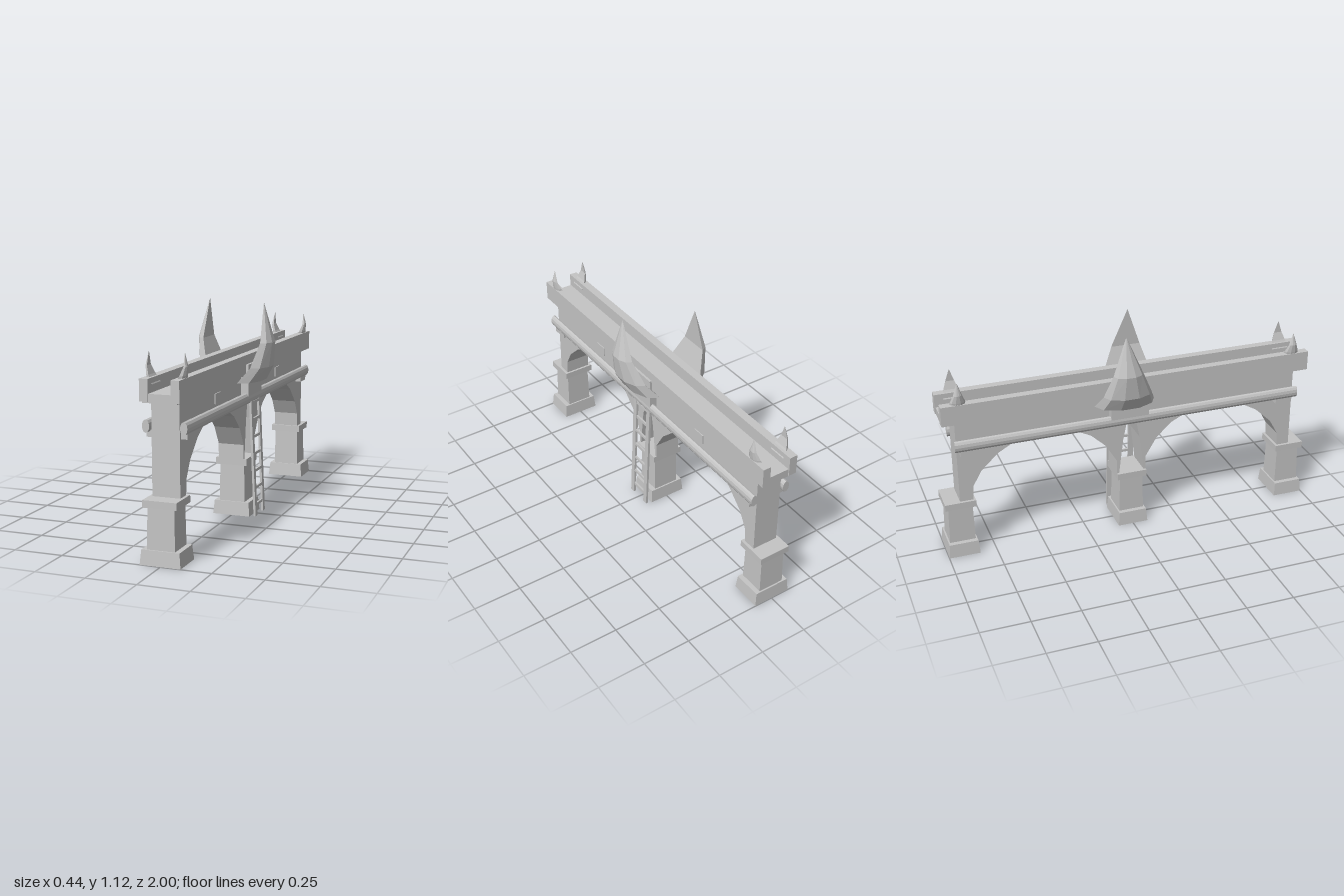
import * as THREE from 'three';

export function createModel() {
  const model = new THREE.Group();
  const stone = new THREE.MeshStandardMaterial({ color: 0xc4c4c4, side: THREE.DoubleSide, flatShading: true });
  stone.name = 'plain grey';

  const add = (name, geo, parent = model) => {
    const m = new THREE.Mesh(geo, stone);
    m.name = name;
    parent.add(m);
    return m;
  };
  // box given by its limits on each axis
  const box = (name, x0, x1, y0, y1, z0, z1, parent) => add(name,
    new THREE.BoxGeometry(x1 - x0, y1 - y0, z1 - z0)
      .translate((x0 + x1) / 2, (y0 + y1) / 2, (z0 + z1) / 2), parent);

  // four-sided tapered block, open underneath
  const taper = (name, xb, zb, xt, zt, y0, y1, parent) => {
    const g = new THREE.BoxGeometry(2, y1 - y0, 2).translate(0, (y0 + y1) / 2, 0);
    const p = g.attributes.position;
    for (let i = 0; i < p.count; i++) {
      const top = p.getY(i) > (y0 + y1) / 2;
      p.setX(i, p.getX(i) * (top ? xt : xb));
      p.setZ(i, p.getZ(i) * (top ? zt : zb));
    }
    // drop the underside face
    const idx = Array.from(g.index.array);
    idx.splice(18, 6);
    g.setIndex(idx);
    g.clearGroups();
    g.computeVertexNormals();
    return add(name, g, parent);
  };

  // piers
  for (const z of [-0.918, 0, 0.918]) {
    const pier = new THREE.Group();
    pier.name = 'pier';
    pier.position.z = z;
    model.add(pier);
    taper('pierBase', 0.101, 0.081, 0.094, 0.075, 0, 0.072, pier);
    taper('pierBody', 0.069, 0.067, 0.066, 0.063, 0.072, 0.272, pier);
    box('pierCap', -0.084, 0.084, 0.27, 0.305, -0.08, 0.08, pier);
  }

  // wall with two arches and a narrow central opening
  const half = [[0.025, 0.6], [0.045, 0.5], [0.068, 0.305], [0.08, 0.305], [0.08, 0.38], [0.14, 0.48],
    [0.22, 0.555], [0.29, 0.59], [0.33, 0.6], [0.59, 0.6], [0.63, 0.59], [0.71, 0.545], [0.8, 0.46],
    [0.845, 0.38], [0.85, 0.305], [0.918, 0.305], [0.918, 0.75]];
  const outline = [...half, ...half.map(([z, y]) => [-z, y]).reverse()];
  const wall = new THREE.Shape(outline.map(([z, y]) => new THREE.Vector2(z, y)));
  add('archedWall', new THREE.ExtrudeGeometry(wall, { depth: 0.138, bevelEnabled: false })
    .translate(0, 0, -0.069).rotateY(-Math.PI / 2));

  // walkway and parapets
  box('walkway', -0.084, 0.084, 0.746, 0.788, -0.98, 0.98);
  for (const s of [-1, 1]) {
    const a = s * 0.055, b = s * 0.097;
    box('parapet', Math.min(a, b), Math.max(a, b), 0.752, 0.855, -0.985, 0.985);
    const step = s * 0.089;
    box('parapetFoot', Math.min(a, step), Math.max(a, step), 0.75, 0.802, -0.975, 0.975);
  }

  // curved horn: D-shaped sections [y, innerX, outerX, halfZ, centreZ] ending in a tip
  const horn = (name, sections, parent) => {
    const n = 6, pos = [], idx = [];
    for (const [y, xi, xo, hz, cz] of sections) {
      for (let k = 0; k < n; k++) {
        const t = (k / (n - 1) - 0.5) * Math.PI;
        pos.push(xi + (xo - xi) * Math.cos(t), y, cz + hz * Math.sin(t));
      }
    }
    for (let r = 0; r < sections.length - 1; r++) {
      for (let k = 0; k < n; k++) {
        const a = r * n + k, b = r * n + (k + 1) % n;
        idx.push(a, a + n, b, b, a + n, b + n);
      }
    }
    for (let k = 1; k < n - 1; k++) idx.push(0, k, k + 1);
    const g = new THREE.BufferGeometry();
    g.setAttribute('position', new THREE.Float32BufferAttribute(pos, 3));
    g.setIndex(idx);
    const flat = g.toNonIndexed();
    flat.computeVertexNormals();
    return add(name, flat, parent);
  };

  // fittings of one long side; the other side is the same turned half a circle
  for (const turn of [0, Math.PI]) {
    const side = new THREE.Group();
    side.name = turn ? 'rightFittings' : 'leftFittings';
    side.rotation.y = turn;
    model.add(side);

    const rail = add('sideBeam', new THREE.CylinderGeometry(0.031, 0.031, 1.86, 12).rotateX(Math.PI / 2), side);
    rail.scale.x = 0.58;
    rail.position.set(0.093, 0.63, 0);
    box('hornMount', 0.06, 0.109, 0.63, 0.807, -0.08, 0.122, side);
    horn('largeHorn', [
      [0.72, 0.075, 0.167, 0.16, 0.04],
      [0.795, 0.135, 0.21, 0.127, 0.045],
      [0.92, 0.175, 0.224, 0.078, 0.055],
      [1.118, 0.171, 0.172, 0.001, 0.065],
    ], side);

    for (const z of [-0.895, 0.895]) {
      horn('smallHorn', [
        [0.825, 0.052, 0.092, 0.046, 0],
        [0.865, 0.074, 0.098, 0.038, 0],
        [0.905, 0.088, 0.102, 0.022, 0],
        [0.967, 0.087, 0.088, 0.001, 0],
      ], side).position.z = z;
      const zc = Math.sign(z) * 0.857;
      box('beamBracket', 0.065, 0.1, 0.576, 0.61, zc - 0.046, zc + 0.046, side);
    }
  }

  // small wall panels on the ladder side
  for (const z of [-0.455, 0.455]) box('wallPanel', 0.068, 0.074, 0.665, 0.715, z - 0.035, z + 0.035);

  // leaning ladder
  const ladder = new THREE.Group();
  ladder.name = 'ladder';
  model.add(ladder);
  const tilt = Math.atan2(0.026, 0.61);
  ladder.position.set(0.128, 0.003, 0);
  ladder.rotation.z = tilt;
  for (const s of [-1, 1]) box('ladderRail', -0.006, 0.006, 0, 0.625, s * 0.06 - 0.014, s * 0.06 + 0.014, ladder);
  for (let i = 0; i < 7; i++) {
    const y = 0.058 + i * 0.09;
    box('ladderRung', -0.005, 0.005, y - 0.007, y + 0.007, -0.05, 0.05, ladder);
  }

  model.position.x = -0.002;
  const root = new THREE.Group();
  root.name = 'archedBridge';
  root.add(model);
  return root;
}
